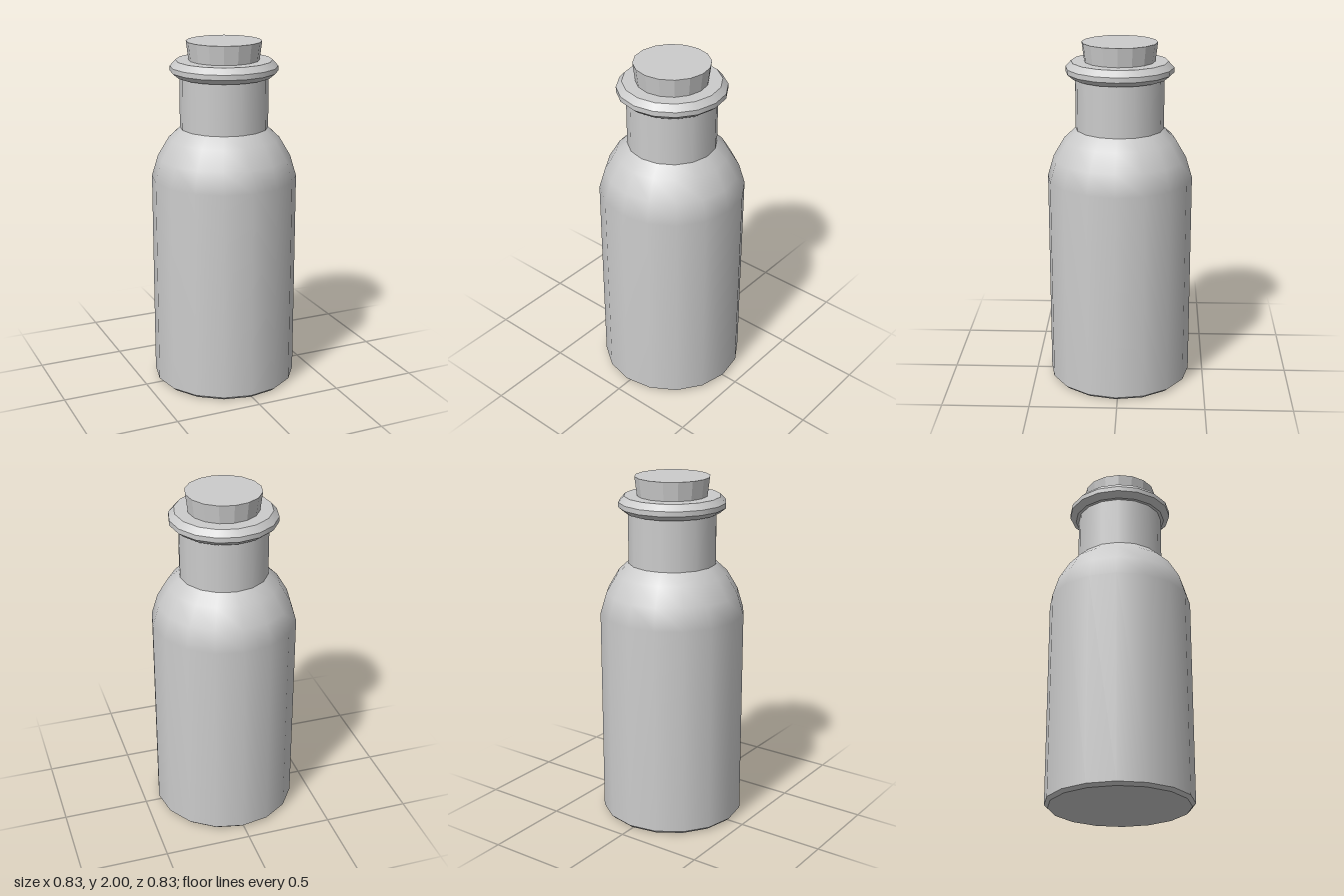
import * as THREE from 'three';
import { mergeGeometries } from 'three/addons/utils/BufferGeometryUtils.js';

const SIDES = 16;
const TWIST = -0.024; // the whole bottle is turned very slightly about y

// Lathe several [radius, y] bands; each band is smooth, with a sharp edge between bands
function turned(name, bands, flatShading = false) {
  const parts = bands.map((band) => new THREE.LatheGeometry(
    band.map(([r, y]) => new THREE.Vector2(r, y)), SIDES, TWIST));
  const material = new THREE.MeshStandardMaterial({ color: 0xcccccc, flatShading });
  const mesh = new THREE.Mesh(mergeGeometries(parts), material);
  mesh.name = name;
  return mesh;
}

export function createModel() {
  const bottle = new THREE.Group();
  bottle.name = 'corkedBottle';

  // Flat base, small bevel, straight wall and rounded shoulder
  bottle.add(turned('body', [
    [[0, 0], [0.395, 0]],
    [[0.395, 0], [0.414, 0.018]],
    [[0.414, 0.018], [0.414, 1.225], [0.378, 1.345], [0.315, 1.452], [0.25, 1.512]],
  ]));

  // Straight neck
  bottle.add(turned('neck', [[[0.25, 1.512], [0.25, 1.805]]]));

  // Bevelled lip, closed across the top
  bottle.add(turned('lip', [
    [[0.25, 1.803], [0.268, 1.803]],
    [[0.268, 1.803], [0.303, 1.832]],
    [[0.303, 1.832], [0.303, 1.86]],
    [[0.303, 1.86], [0.272, 1.894]],
    [[0.272, 1.894], [0, 1.894]],
  ]));

  // Tapered, faceted stopper
  bottle.add(turned('cork', [
    [[0.197, 1.88], [0.212, 2]],
    [[0.212, 2], [0, 2]],
  ], true));

  return bottle;
}
